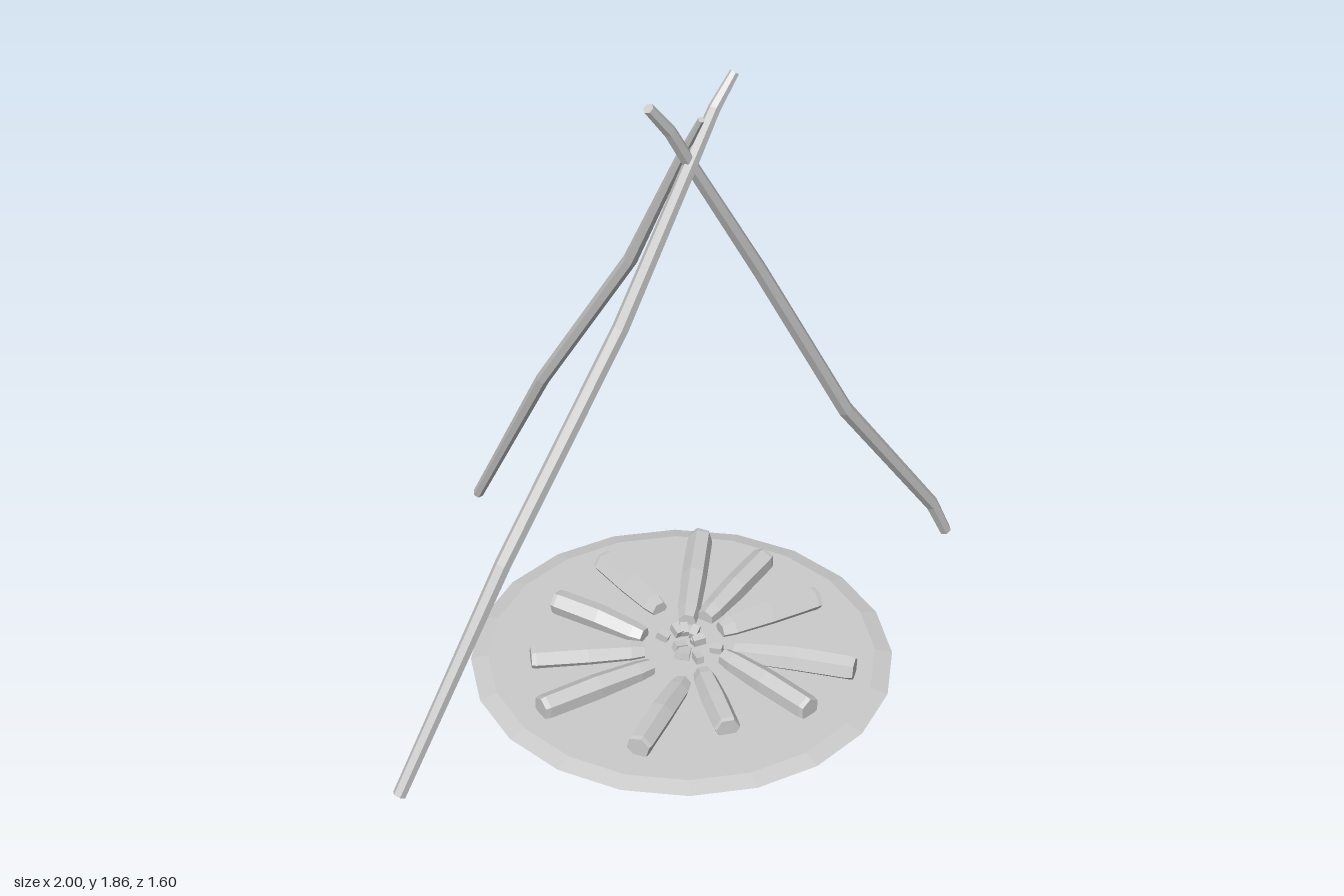
import * as THREE from 'three';

const material = new THREE.MeshStandardMaterial({ color: 0xcccccc, flatShading: true });

// Capped faceted tube through stations [x, y, z, radius]; ref fixes the roll,
// flat squashes the section along its second axis.
function loft(stations, sides, ref, flat = 1, roll = 0) {
  const pts = stations.map(s => new THREE.Vector3(s[0], s[1], s[2]));
  const pos = [], idx = [], n = pts.length;
  pts.forEach((p, i) => {
    const t = pts[Math.min(i + 1, n - 1)].clone().sub(pts[Math.max(i - 1, 0)]).normalize();
    const u = new THREE.Vector3().crossVectors(ref, t).normalize();
    const v = new THREE.Vector3().crossVectors(t, u);
    for (let j = 0; j < sides; j++) {
      const a = roll + j / sides * Math.PI * 2, r = stations[i][3];
      const q = p.clone().addScaledVector(u, Math.cos(a) * r).addScaledVector(v, Math.sin(a) * r * flat);
      pos.push(q.x, q.y, q.z);
    }
  });
  for (let i = 0; i < n - 1; i++) for (let j = 0; j < sides; j++) {
    const a = i * sides + j, b = i * sides + (j + 1) % sides;
    idx.push(a, b, a + sides, b, b + sides, a + sides);
  }
  const last = (n - 1) * sides;
  for (let j = 1; j < sides - 1; j++) {
    idx.push(0, j + 1, j);
    idx.push(last, last + j, last + j + 1);
  }
  const g = new THREE.BufferGeometry();
  g.setAttribute('position', new THREE.Float32BufferAttribute(pos, 3));
  g.setIndex(idx);
  g.computeVertexNormals();
  return g;
}

export function createModel() {
  const model = new THREE.Group();
  const add = (name, geometry, parent = model) => {
    const mesh = new THREE.Mesh(geometry, material);
    mesh.name = name;
    parent.add(mesh);
    return mesh;
  };
  const Y = new THREE.Vector3(0, 1, 0), Z = new THREE.Vector3(0, 0, 1);

  // Thin ash bed with a sloping rim
  const bed = add('ashBed', new THREE.CylinderGeometry(0.55, 0.6, 0.013, 20));
  bed.position.set(-0.01, 0.0145, 0.2);

  // Three crooked poles crossing near the top
  add('rightPole', loft([
    [-0.985, 0.015, 0.215, 0.019], [-0.63, 0.63, 0.22, 0.023], [-0.24, 1.22, 0.222, 0.023],
    [-0.015, 1.63, 0.222, 0.02], [0.065, 1.77, 0.22, 0.017], [0.13, 1.85, 0.218, 0.013]], 6, Z));
  add('leftPole', loft([
    [0.982, 0.015, 0.215, 0.018], [0.92, 0.14, 0.215, 0.021], [0.55, 0.64, 0.225, 0.023],
    [0.23, 1.22, 0.215, 0.022], [-0.01, 1.63, 0.215, 0.019], [-0.08, 1.75, 0.22, 0.018],
    [-0.15, 1.84, 0.222, 0.015]], 6, Z));
  add('backPole', loft([
    [-0.025, 0.015, -0.79, 0.016], [-0.047, 0.65, -0.405, 0.02], [-0.012, 1.22, -0.035, 0.02],
    [-0.008, 1.63, 0.175, 0.013], [-0.008, 1.775, 0.257, 0.009]], 6, Z));

  // Ring of split logs: inner x, z then outer x, z
  const logs = new THREE.Group();
  logs.name = 'logs';
  model.add(logs);
  [
    [0.05, 0.02, 0.055, -0.26], [0.08, 0.11, 0.35, -0.17], [0.13, 0.13, 0.44, 0.02],
    [0.13, 0.20, 0.44, 0.26], [0.10, 0.30, 0.31, 0.58], [0.065, 0.30, 0.10, 0.635],
    [-0.03, 0.32, -0.13, 0.56], [-0.10, 0.32, -0.38, 0.48], [-0.13, 0.21, -0.49, 0.18],
    [-0.10, 0.14, -0.38, -0.02], [-0.06, 0.09, -0.175, -0.18],
  ].forEach(([x0, z0, x1, z1], i) => {
    const at = (t, y, r) => [x0 + (x1 - x0) * t, y, z0 + (z1 - z0) * t, r];
    const lift = (i * 5 % 3) * 0.004;
    add('log' + (i + 1), loft([
      at(0, 0.032, 0.026), at(0.12, 0.033, 0.033), at(0.5, 0.036 + lift, 0.038),
      at(0.96, 0.039 + lift, 0.037), at(1, 0.039 + lift, 0.034)], 6, Y, 0.98, (i % 3) * 0.25), logs);
  });

  // Charred scraps in the middle
  const embers = new THREE.Group();
  embers.name = 'embers';
  model.add(embers);
  for (let i = 0; i < 11; i++) {
    const a = i * 2.4, r = 0.03 + (i % 4) * 0.017;
    const e = add('ember' + (i + 1), new THREE.BoxGeometry(0.035, 0.025, 0.022), embers);
    e.position.set(0.02 + Math.cos(a) * r, 0.03 + (i % 3) * 0.005, 0.195 + Math.sin(a) * r);
    e.rotation.set(0.15, -a, 0.2);
  }
  return model;
}
